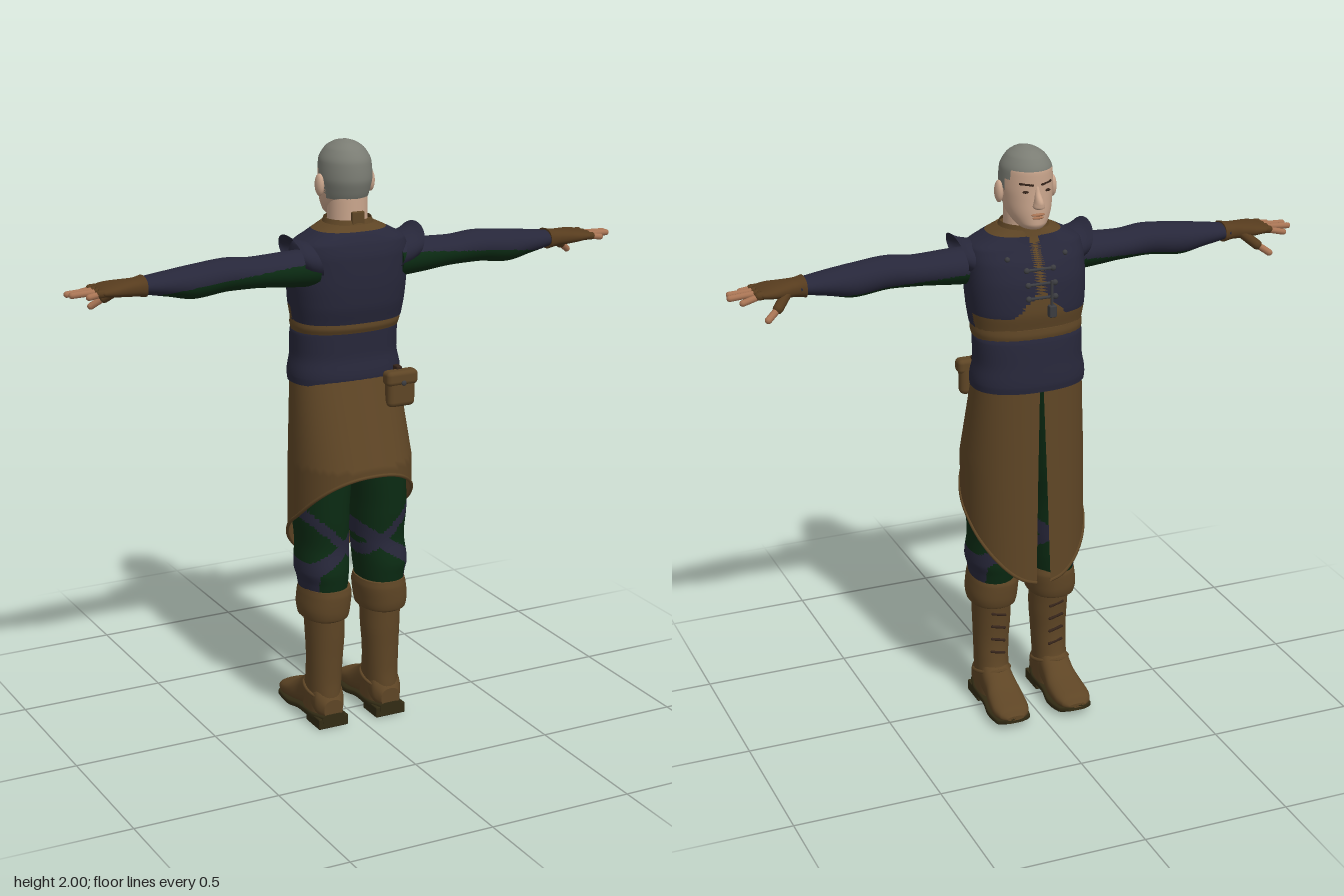
import * as THREE from 'three';
import { mergeVertices } from 'three/addons/utils/BufferGeometryUtils.js';
import { ParametricGeometry } from 'three/addons/geometries/ParametricGeometry.js';
import { RoundedBoxGeometry } from 'three/addons/geometries/RoundedBoxGeometry.js';

const mat = (name, color) => Object.assign(new THREE.MeshStandardMaterial({ color, side: THREE.DoubleSide }), { name });
const navy = mat('navy cloth', 0x27273a), brown = mat('brown leather', 0x5e4525), green = mat('dark green cloth', 0x0b2b13);
const skin = mat('skin', 0xc9a58c), tan = mat('finger skin', 0xa87454), hair = mat('grey hair', 0x7b7d74);
const sole = mat('dark sole', 0x322b14), metal = mat('dark metal', 0x3b3c40), dark = mat('dark brown', 0x35241a);
const glove = mat('glove leather', 0x573c1e);

// Smooth value between section keys, without overshoot
function hermite(keys, i, f, c) {
  const slope = (k) => {
    const d = (j) => (keys[j + 1][c] - keys[j][c]) / (keys[j + 1][0] - keys[j][0]);
    if (k === 0) return d(0);
    if (k === keys.length - 1) return d(k - 1);
    return d(k - 1) * d(k) <= 0 ? 0 : 2 / (1 / d(k - 1) + 1 / d(k));
  };
  const h = keys[i + 1][0] - keys[i][0], f2 = f * f, f3 = f2 * f;
  return (2 * f3 - 3 * f2 + 1) * keys[i][c] + (f3 - 2 * f2 + f) * h * slope(i)
    + (3 * f2 - 2 * f3) * keys[i + 1][c] + (f3 - f2) * h * slope(i + 1);
}

// Skin over rounded sections [t, a0, a1, b0, b1], t increasing along the axis.
// Planes (a, b): axis y -> (x, z), axis x -> (y, z), axis z -> (x, y)
function loft(axis, keys, { seg = 32, sub = 5, n = 2, paint = () => 0, warp, cap = true } = {}) {
  const pos = [], tris = [], rings = (keys.length - 1) * sub + 1;
  const put = (t, a, b) => {
    const p = axis === 'y' ? [a, t, b] : axis === 'x' ? [t, a, b] : [a, b, t];
    if (warp) warp(p);
    return pos.push(...p) / 3 - 1;
  };
  const ring = (r) => {
    const i = Math.min(Math.floor(r / sub), keys.length - 2), f = r / sub - i;
    const [a0, a1, b0, b1] = [1, 2, 3, 4].map((c) => hermite(keys, i, f, c));
    const t = keys[i][0] + f * (keys[i + 1][0] - keys[i][0]), e = (v) => Math.sign(v) * Math.abs(v) ** (2 / n);
    for (let s = 0; s < seg; s++) {
      const q = s / seg * Math.PI * 2;
      put(t, (a0 + a1) / 2 + (a1 - a0) / 2 * e(Math.cos(q)), (b0 + b1) / 2 + (b1 - b0) / 2 * e(Math.sin(q)));
    }
    return [t, (a0 + a1) / 2, (b0 + b1) / 2];
  };
  const tri = (a, b, c) => tris.push(axis === 'y' ? [a, c, b] : [a, b, c]);
  for (let r = 0; r < rings; r++) ring(r);
  for (let r = 0; r < rings - 1; r++) for (let s = 0; s < seg; s++) {
    const a = r * seg + s, b = r * seg + (s + 1) % seg;
    tri(a, b, b + seg); tri(a, b + seg, a + seg);
  }
  if (cap) for (const r of [0, rings - 1]) {
    const base = pos.length / 3, m = put(...ring(r));
    for (let s = 0; s < seg; s++) {
      const a = base + s, b = base + (s + 1) % seg;
      if (r) tri(a, b, m); else tri(b, a, m);
    }
  }
  // Sort the faces by colour
  const buckets = [[], []];
  for (const t of tris) buckets[paint(...[0, 1, 2].map((k) => t.reduce((v, j) => v + pos[j * 3 + k] / 3, 0)))].push(...t);
  const g = new THREE.BufferGeometry();
  g.setAttribute('position', new THREE.Float32BufferAttribute(pos, 3));
  g.setIndex(buckets.flat());
  g.addGroup(0, buckets[0].length, 0);
  g.addGroup(buckets[0].length, buckets[1].length, 1);
  g.computeVertexNormals();
  return g;
}

function mirrored(src) {
  const g = src.clone().scale(-1, 1, 1), ix = g.index.array;
  for (let i = 0; i < ix.length; i += 3) [ix[i], ix[i + 1]] = [ix[i + 1], ix[i]];
  return g;
}

// Capsule between two points
function limb(a, b, r) {
  const A = new THREE.Vector3(...a), B = new THREE.Vector3(...b), d = B.clone().sub(A);
  const q = new THREE.Quaternion().setFromUnitVectors(new THREE.Vector3(0, 1, 0), d.clone().normalize());
  const g = new THREE.CapsuleGeometry(r, d.length(), 4, 10).applyQuaternion(q);
  return g.translate(...A.add(B).multiplyScalar(0.5).toArray());
}
const ball = (x, y, z, sx, sy, sz) => new THREE.SphereGeometry(1, 16, 12).scale(sx, sy, sz).translate(x, y, z);
const box = (x, y, z, w, h, d, r = 0.004) => mergeVertices(new RoundedBoxGeometry(w, h, d, 2, r)).translate(x, y, z);
const sym = (rows) => rows.map(([y, r, z0, z1]) => [y, -r, r, z0, z1]);

export function createModel() {
  const model = new THREE.Group();
  const add = (name, g, m) => {
    const mesh = new THREE.Mesh(g, m);
    mesh.name = name;
    if (!Array.isArray(m)) g.clearGroups();
    model.add(mesh);
  };
  const pair = (name, g, m) => { add('left ' + name, g, m); add('right ' + name, mirrored(g), m); };

  // Head, facing -z, with cropped hair
  add('head', loft('y', sym([[1.74, 0.012, -0.085, -0.05], [1.747, 0.036, -0.108, -0.02], [1.765, 0.055, -0.118, 0.02],
    [1.8, 0.073, -0.118, 0.06], [1.84, 0.081, -0.116, 0.08], [1.88, 0.086, -0.114, 0.09], [1.93, 0.083, -0.113, 0.086],
    [1.97, 0.063, -0.092, 0.064], [1.99, 0.036, -0.06, 0.036], [2.0, 0.006, -0.016, 0.0]]), {
    seg: 48, sub: 6, paint: (x, y, z) => (y > (z > 0 ? 1.812 : z > -0.035 ? 1.87 : z > -0.06 ? 1.905 : 1.935) ? 1 : 0) }), [skin, hair]);
  add('neck', loft('y', sym([[1.69, 0.075, -0.065, 0.08], [1.74, 0.066, -0.06, 0.072], [1.82, 0.066, -0.06, 0.07]])), skin);
  add('nose', loft('y', sym([[1.817, 0.012, -0.13, -0.1], [1.825, 0.019, -0.146, -0.1], [1.84, 0.015, -0.147, -0.1],
    [1.87, 0.009, -0.124, -0.1], [1.89, 0.006, -0.114, -0.1]]), { seg: 16 }), skin);
  pair('ear', ball(0.092, 1.857, -0.012, 0.014, 0.037, 0.022), skin);
  pair('eye', ball(0.034, 1.872, -0.103, 0.014, 0.005, 0.006), dark);
  pair('eyebrow', limb([0.016, 1.894, -0.112], [0.052, 1.898, -0.093], 0.004), dark);
  add('upper lip', ball(0, 1.797, -0.117, 0.024, 0.005, 0.008), tan);
  add('lower lip', ball(0, 1.787, -0.117, 0.02, 0.005, 0.008), tan);

  // Vest with brown yoke, front strip and peaked underbust panel
  add('vest', loft('y', sym([[1.415, 0.186, -0.138, 0.122], [1.48, 0.195, -0.15, 0.137], [1.56, 0.2, -0.145, 0.142],
    [1.63, 0.2, -0.125, 0.14], [1.675, 0.193, -0.1, 0.13], [1.705, 0.145, -0.085, 0.115], [1.735, 0.085, -0.072, 0.09]]), {
    seg: 96, sub: 8, n: 2.5, paint: (x, y, z) => (y > 1.716 || (z < -0.03 && (Math.abs(x) < 0.012
      || y < 1.465 + Math.max(0, 0.09 - Math.abs(x)))) ? 1 : 0) }), [navy, brown]);
  add('collar', loft('y', sym([[1.715, 0.095, -0.083, 0.1], [1.735, 0.084, -0.076, 0.09], [1.75, 0.078, -0.072, 0.083]]), { cap: false }), brown);
  add('collar tab', box(0, 1.75, 0.08, 0.045, 0.055, 0.014), brown);
  pair('shoulder cap', loft('x', [[0.165, 1.56, 1.69, -0.05, 0.13], [0.2, 1.575, 1.7, -0.052, 0.13], [0.222, 1.59, 1.715, -0.055, 0.13]], {
    cap: false, warp: (p) => { p[0] += (p[1] - 1.67) * 0.3; } }), navy);
  add('belt', loft('y', sym([[1.38, 0.184, -0.142, 0.108], [1.4, 0.188, -0.146, 0.116], [1.42, 0.186, -0.144, 0.115]]), { n: 2.3 }), brown);
  add('waist sash', loft('y', sym([[1.205, 0.193, -0.155, 0.108], [1.23, 0.195, -0.158, 0.11], [1.3, 0.184, -0.153, 0.1],
    [1.37, 0.185, -0.147, 0.1], [1.392, 0.178, -0.142, 0.1]]), { seg: 48, n: 2.3 }), navy);

  // Chest clasps, studs and hanging cord
  for (const [y, z] of [[1.62, -0.134], [1.575, -0.148], [1.53, -0.153]]) {
    add('clasp bar', limb([-0.04, y, z], [0.04, y, z], 0.005), metal);
    pair('clasp knob', ball(0.046, y, z, 0.01, 0.01, 0.008), metal);
  }
  pair('chest stud', ball(0.1, 1.655, -0.103, 0.009, 0.009, 0.008), metal);
  add('hanging cord', limb([-0.03, 1.585, -0.163], [-0.03, 1.47, -0.163], 0.005), metal);
  add('cord weight', box(-0.03, 1.485, -0.165, 0.025, 0.04, 0.022), metal);

  // Long skirt, split at the front, hem rising to the back
  const skirt = (u, v, out) => {
    const w = 0.02 + 0.07 * v, a = w + u * (Math.PI * 2 - 2 * w), c = Math.cos(a), s = Math.sin(a);
    const hem = 0.745 - 0.17 * c - 0.05 * Math.max(0, c) ** 4, y = 1.225 + (hem - 1.225) * v;
    const k = Math.min(1, (1.225 - y) / 0.29), zf = -0.152 - 0.022 * (1.225 - y) / 0.7, zb = 0.108 + 0.1 * k;
    const e = (t) => Math.sign(t) * Math.abs(t) ** 0.87;
    return out.set((0.186 + 0.02 * k) * e(s), y, (zf + zb) / 2 - (zb - zf) / 2 * e(c));
  };
  add('skirt', new ParametricGeometry(skirt, 72, 20), brown);
  const hemPoints = Array.from({ length: 41 }, (_, i) => skirt(i / 40, 1, new THREE.Vector3()));
  add('skirt hem', new THREE.TubeGeometry(new THREE.CatmullRomCurve3(hemPoints), 100, 0.006, 6), brown);

  // Belt pouch at the back
  add('pouch', box(0.13, 1.175, 0.132, 0.1, 0.11, 0.045, 0.018), brown);
  add('pouch flap', box(0.13, 1.22, 0.135, 0.115, 0.05, 0.05, 0.015), brown);
  add('pouch loop', box(0.13, 1.24, 0.115, 0.02, 0.03, 0.03), dark);
  add('pouch button', ball(0.13, 1.205, 0.162, 0.009, 0.009, 0.005), metal);

  // Sleeves, green underneath
  pair('sleeve', loft('x', [[0.15, 1.54, 1.665, -0.03, 0.12], [0.25, 1.548, 1.662, -0.026, 0.116], [0.36, 1.558, 1.658, -0.02, 0.11],
    [0.45, 1.56, 1.666, -0.016, 0.114], [0.57, 1.548, 1.656, -0.016, 0.11], [0.66, 1.565, 1.645, -0.01, 0.1], [0.755, 1.583, 1.632, 0, 0.08]], {
    seg: 64, sub: 8, paint: (x, y, z) => (y < 1.612 - (x - 0.2) * 0.09 + (z - 0.04) * 0.25 ? 1 : 0) }), [navy, green]);

  // Fingerless gloves and fingers
  pair('glove', loft('x', [[0.735, 1.572, 1.64, -0.005, 0.088], [0.765, 1.577, 1.634, 0.002, 0.082], [0.8, 1.58, 1.632, -0.008, 0.088],
    [0.85, 1.587, 1.628, -0.022, 0.1], [0.88, 1.592, 1.622, -0.018, 0.098], [0.892, 1.6, 1.617, -0.01, 0.09]], { n: 2.4 }), glove);
  [[-0.008, 0.948, 1.592], [0.023, 0.98, 1.602], [0.052, 0.974, 1.604], [0.084, 0.93, 1.6]].forEach(([z, x, y], i) => {
    const z0 = 0.002 + i * 0.026;
    pair('finger base ' + (i + 1), limb([0.86, 1.607, z0], [0.895, 1.606, z0 + (z - z0) * 0.4], 0.0135), glove);
    pair('finger ' + (i + 1), limb([0.88, 1.607, z0], [x, y, z], 0.0105), tan);
  });
  pair('thumb base', limb([0.8, 1.6, 0.01], [0.84, 1.565, -0.025], 0.017), glove);
  pair('thumb', limb([0.84, 1.565, -0.025], [0.878, 1.538, -0.043], 0.0115), tan);

  // Trousers with crossed navy wraps
  pair('trouser leg', loft('y', [[0.46, 0.035, 0.18, -0.06, 0.125], [0.52, 0.028, 0.187, -0.076, 0.135], [0.56, 0.025, 0.196, -0.085, 0.14],
    [0.65, 0.02, 0.19, -0.09, 0.127], [0.75, 0.02, 0.197, -0.1, 0.135], [0.9, 0.01, 0.192, -0.12, 0.14], [1.2, 0, 0.16, -0.13, 0.09]], {
    seg: 64, sub: 12, n: 2.2, paint: (x, y) => {
      const k = (x - 0.11) / 0.09;
      return Math.abs(y - 0.69 - 0.085 * k) < 0.021 || Math.abs(y - 0.62 + 0.06 * k) < 0.027 || (y < 0.6 && x > 0.16) ? 1 : 0;
    } }), [green, navy]);

  // Boots
  pair('boot cuff', loft('y', [[0.385, 0.05, 0.17, -0.045, 0.12], [0.395, 0.03, 0.188, -0.062, 0.135], [0.43, 0.024, 0.193, -0.07, 0.142],
    [0.475, 0.02, 0.188, -0.072, 0.144], [0.5, 0.024, 0.183, -0.065, 0.14]], { n: 2.3 }), brown);
  pair('boot shaft', loft('y', [[0.04, 0.055, 0.165, -0.06, 0.116], [0.1, 0.054, 0.166, -0.056, 0.114], [0.16, 0.052, 0.166, -0.034, 0.11],
    [0.24, 0.048, 0.167, -0.026, 0.112], [0.33, 0.042, 0.17, -0.033, 0.117], [0.42, 0.042, 0.173, -0.045, 0.12]], { n: 2.2 }), brown);
  pair('boot foot', loft('z', [[-0.207, 0.085, 0.145, 0.034, 0.05], [-0.19, 0.062, 0.168, 0.028, 0.07], [-0.15, 0.05, 0.178, 0.022, 0.085],
    [-0.1, 0.048, 0.174, 0.022, 0.105], [-0.05, 0.053, 0.166, 0.024, 0.14], [0, 0.056, 0.165, 0.026, 0.175], [0.08, 0.055, 0.165, 0.026, 0.15],
    [0.118, 0.075, 0.145, 0.03, 0.1]], { n: 2.4 }), brown);
  pair('boot sole', loft('z', [[-0.207, 0.08, 0.15, 0.024, 0.042], [-0.18, 0.052, 0.176, 0.013, 0.038], [-0.11, 0.042, 0.18, 0.008, 0.036],
    [-0.03, 0.052, 0.17, 0.016, 0.044], [0.05, 0.05, 0.17, 0.016, 0.048], [0.122, 0.07, 0.152, 0.016, 0.05]], { n: 4 }), sole);
  pair('boot heel', box(0.11, 0.019, 0.07, 0.112, 0.038, 0.1), sole);
  for (const y of [0.2, 0.25, 0.3, 0.35])
    pair('boot lace', limb([0.085, y, -0.025 - (y - 0.2) * 0.06], [0.13, y + 0.012, -0.025 - (y - 0.2) * 0.06], 0.005), dark);
  const strap = new THREE.TorusGeometry(0.062, 0.006, 6, 32).rotateX(Math.PI / 2 + 0.35).scale(0.97, 1, 1.3).translate(0.11, 0.12, 0.032);
  pair('ankle strap', strap, brown);
  return model;
}
